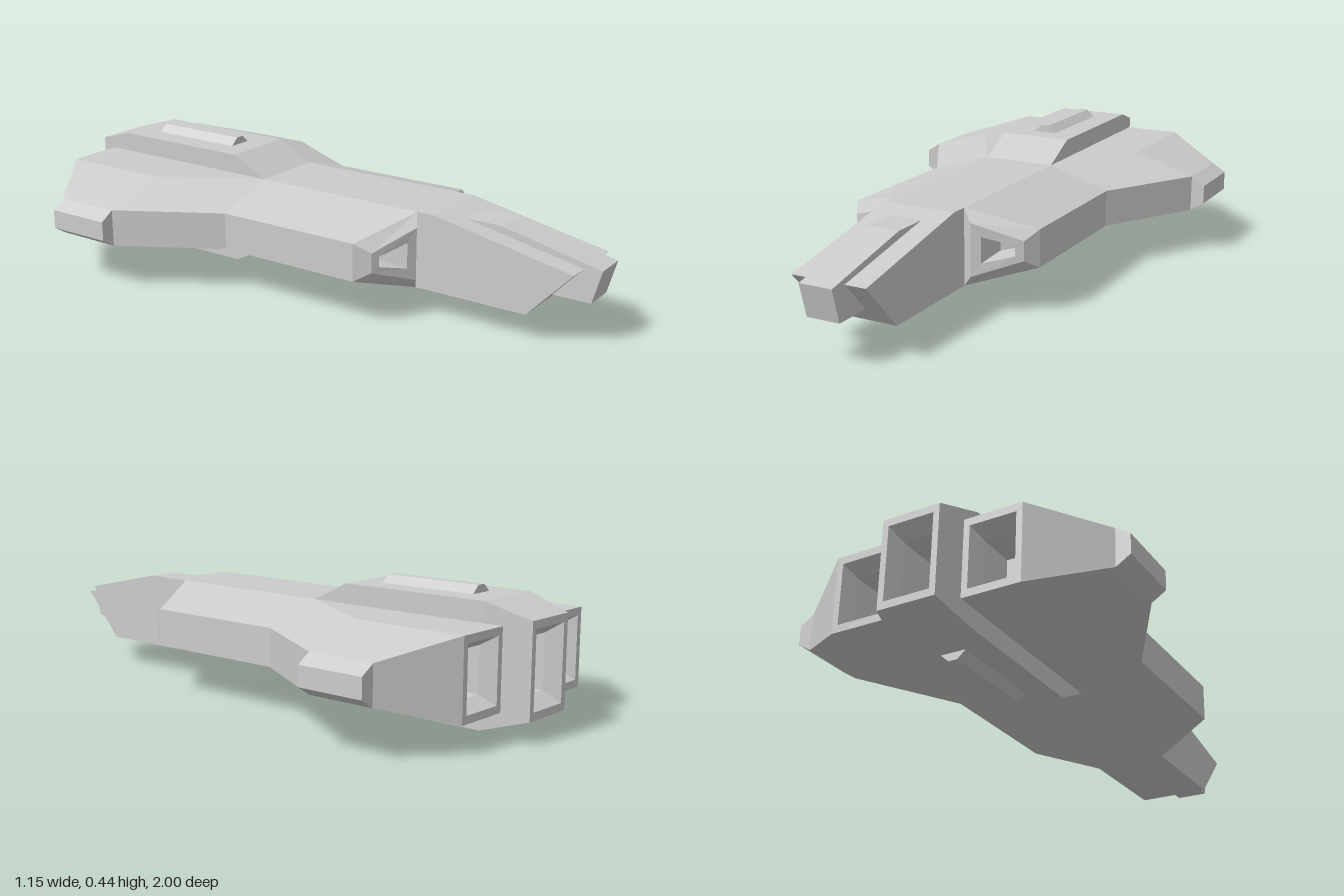
import * as THREE from 'three';

const H = 0.435; // full height; most parts are symmetric about H / 2
const material = new THREE.MeshStandardMaterial({ color: 0xcccccc, flatShading: true });

// Closed ring: upper points, then the same points mirrored to the underside
const ring = (tops) => [...tops, ...tops.map(([x, y, z]) => [x, H - y, z]).reverse()];

// Skin consecutive rings and cap both ends
function loft(name, topRows, mirror = false) {
  let rings = topRows.map(ring);
  if (mirror) rings = rings.map((r) => r.map(([x, y, z]) => [-x, y, z]).reverse());
  const pos = [];
  const tri = (a, b, c) => {
    const [A, B, C] = [a, b, c].map((p) => new THREE.Vector3(...p));
    if (B.sub(A).cross(C.sub(A)).length() > 1e-7) pos.push(...a, ...b, ...c);
  };
  const n = rings[0].length;
  for (let k = 0; k < rings.length - 1; k++) {
    const a = rings[k], b = rings[k + 1];
    for (let i = 0; i < n; i++) {
      const j = (i + 1) % n;
      tri(a[i], a[j], b[j]);
      tri(a[i], b[j], b[i]);
    }
  }
  const first = rings[0], last = rings[rings.length - 1];
  for (let i = 1; i < n - 1; i++) {
    tri(first[0], first[i + 1], first[i]);
    tri(last[0], last[i], last[i + 1]);
  }
  const geo = new THREE.BufferGeometry();
  geo.setAttribute('position', new THREE.Float32BufferAttribute(pos, 3));
  geo.computeVertexNormals();
  const mesh = new THREE.Mesh(geo, material);
  mesh.name = name;
  return mesh;
}

// Side profile of [z, y] points extruded across x
function slab(name, profile, width) {
  const shape = new THREE.Shape(profile.map(([z, y]) => new THREE.Vector2(z, y)));
  const geo = new THREE.ExtrudeGeometry(shape, { depth: width, bevelEnabled: false });
  geo.translate(0, 0, -width / 2).rotateY(-Math.PI / 2);
  const mesh = new THREE.Mesh(geo, material);
  mesh.name = name;
  return mesh;
}

export function createModel() {
  const group = new THREE.Group();
  const W = 0.127;

  // Central body with wedge nose, and the narrow block set into it
  group.add(slab('centralBody', [
    [-0.26, 0.09], [0.79, 0.09], [0.94, 0.25], [0.46, 0.345], [-0.26, 0.345],
  ], W * 2));
  group.add(slab('noseBlock', [
    [0.5, 0.145], [0.97, 0.145], [1, 0.255], [0.66, 0.33], [0.5, 0.33],
  ], 0.112));

  // Raised spine with a hollow rear exhaust
  const across = (w, y, z) => [[-w, y, z], [w, y, z]];
  group.add(loft('spine', [
    across(W, 0.345, -0.21), across(W, 0.41, -0.34), across(W, 0.41, -0.85),
    across(0.097, 0.365, -1), across(0.077, 0.34, -1),
    across(0.055, 0.305, -0.95), across(0.055, 0.305, -0.8),
  ]));

  // Thin ridge showing above and below the spine
  const ridge = (z) => [[-0.045, 0.408, z], [-0.015, H, z], [0.015, H, z], [0.045, 0.408, z]];
  group.add(loft('spineRidge', [ridge(-0.42), ridge(-0.76)]));

  // Wings: each runs from intake recess, along the hull, to the rear exhaust recess
  const intake = (inner, outer) => [inner, inner, outer];
  const exhaust = (inner, outer) => [inner, outer, outer];
  const wing = [
    intake([0.195, 0.25, 0.29], [0.275, 0.232, 0.25]),
    intake([0.19, 0.26, 0.405], [0.285, 0.235, 0.362]),
    intake([0.16, 0.305, 0.42], [0.31, 0.25, 0.35]),
    intake([W, 0.345, 0.4], [0.34, 0.28, 0.3]),
    intake([W, 0.345, -0.21], [0.34, 0.28, -0.21]),
    [[W, 0.345, -0.54], [0.32, 0.345, -0.54], [0.53, 0.28, -0.54]],
    [[W, 0.345, -0.92], [0.32, 0.345, -0.92], [0.53, 0.28, -0.77]],
    exhaust([W, 0.345, -0.92], [0.32, 0.345, -0.92]),
    exhaust([0.147, 0.32, -0.92], [0.3, 0.32, -0.92]),
    exhaust([0.168, 0.29, -0.87], [0.279, 0.29, -0.87]),
    exhaust([0.168, 0.29, -0.75], [0.279, 0.29, -0.75]),
  ];
  // Bevelled wing tips
  const tip = (x, y) => [[x, y, -0.77], [x, y, -0.54]];
  for (const [side, mirror] of [['left', false], ['right', true]]) {
    group.add(loft(side + 'Wing', wing, mirror));
    group.add(loft(side + 'WingTip', [tip(0.53, 0.28), tip(0.577, 0.25)], mirror));
  }
  return group;
}
